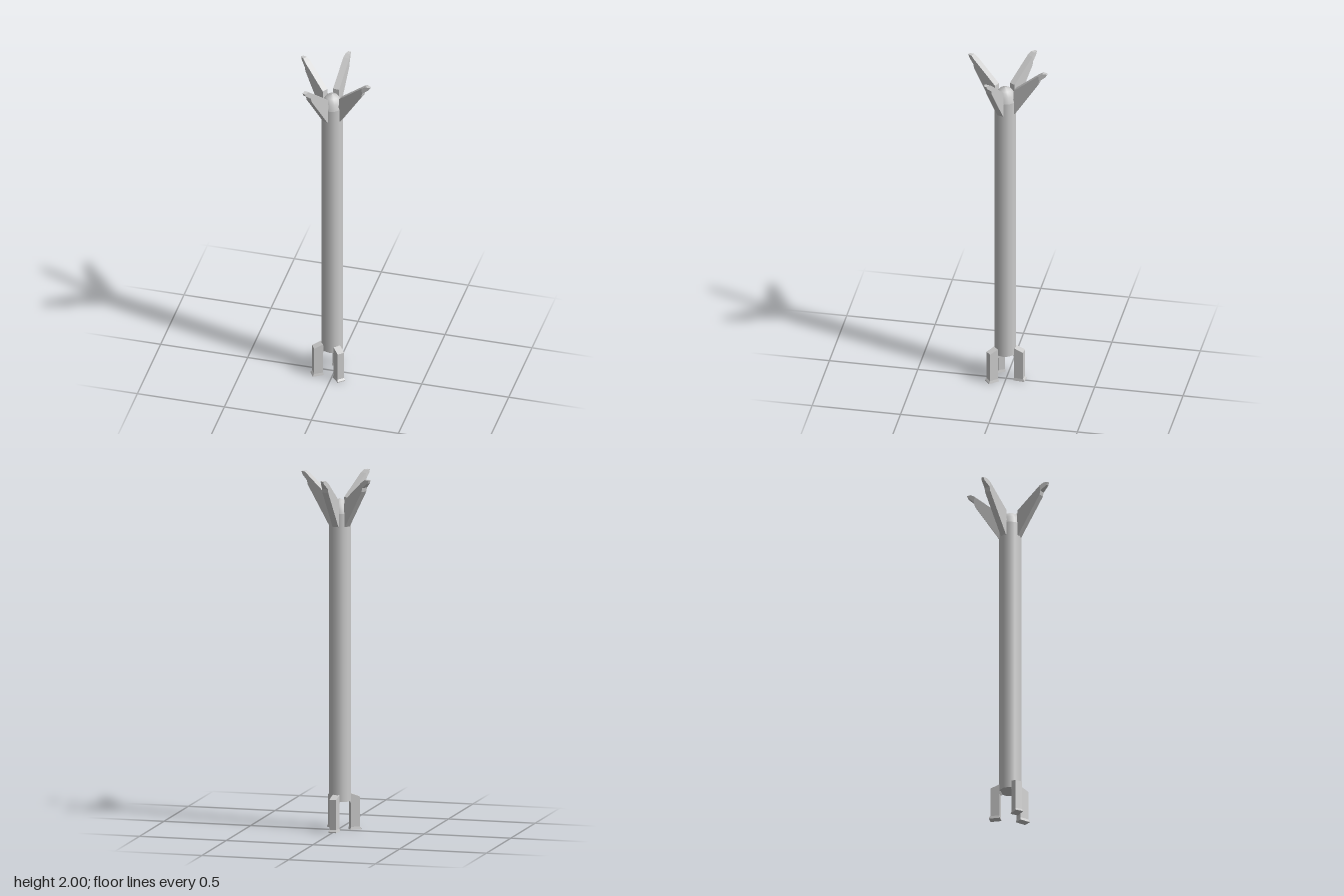
import * as THREE from 'three';

const material = new THREE.MeshStandardMaterial({ color: 0xcccccc });
const SIDES = 12;
const RADIUS = 0.062;

// Plate cut from a (radius, height) profile, centred on its own mid-plane
function plate(points, width) {
  const shape = new THREE.Shape(points.map(([r, y]) => new THREE.Vector2(r, y)));
  const geo = new THREE.ExtrudeGeometry(shape, { depth: width, bevelEnabled: false });
  return geo.translate(0, 0, -width / 2);
}

// Scale the width of a plate by a rule of radius and height
function shapeWidth(geo, rule) {
  const p = geo.attributes.position;
  for (let i = 0; i < p.count; i++) p.setZ(i, p.getZ(i) * rule(p.getX(i), p.getY(i)));
  geo.computeVertexNormals();
  return geo;
}

export function createModel() {
  const model = new THREE.Group();
  const body = new THREE.Group();
  body.position.set(-0.013, 0, 0.008);
  model.add(body);

  const add = (geo, name, degrees = 0) => {
    const mesh = new THREE.Mesh(geo, material);
    mesh.name = name;
    mesh.rotation.y = -THREE.MathUtils.degToRad(degrees);
    body.add(mesh);
  };

  // Shaft
  const bottom = 0.165, top = 1.79;
  const shaft = new THREE.CylinderGeometry(RADIUS, RADIUS, top - bottom, SIDES);
  add(shaft.translate(0, (top + bottom) / 2, 0), 'shaft');

  // Rounded cap on the shaft
  const dome = [[RADIUS, top], [0.053, 1.826], [0.034, 1.855], [0, 1.868]];
  add(new THREE.LatheGeometry(dome.map(([r, y]) => new THREE.Vector2(r, y)), SIDES), 'domeCap');

  // Flaring fins, narrowed towards the tip
  const fin = shapeWidth(plate([
    [0.052, 1.715], [0.062, 1.715], [0.2, 1.93], [0.205, 1.953], [0.24, 1.983],
    [0.247, 2], [0.222, 2], [0.2, 1.985], [0.057, 1.865], [0.052, 1.79],
  ], 0.036), (r) => (r > 0.21 ? THREE.MathUtils.mapLinear(r, 0.2, 0.247, 1, 0.42) : 1));
  [16, 114.7, 212.7, 278.3].forEach((a) => add(fin, 'fin', a));

  // Legs with sloped shoulders and slightly flared feet
  const leg = shapeWidth(plate([
    [0.054, 0], [0.117, 0], [0.117, 0.006], [0.109, 0.016],
    [0.109, 0.185], [0.058, 0.205], [0.05, 0.165], [0.057, 0.15], [0.057, 0.016],
  ], 0.04), (r, y) => (y < 0.01 ? 1.15 : 1));
  [48.5, 148.6, 276].forEach((a) => add(leg, 'leg', a));

  return model;
}
